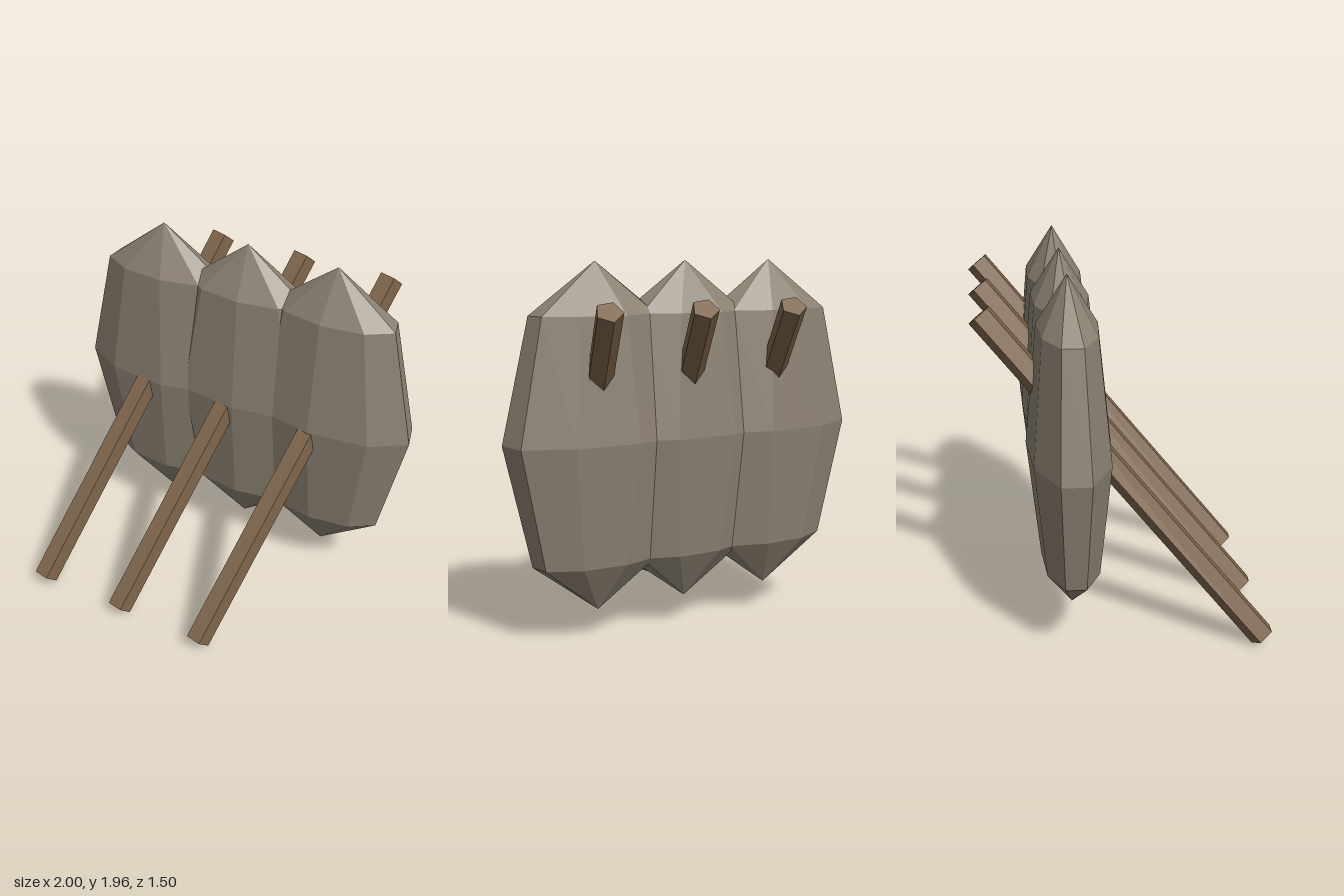
import * as THREE from 'three';

const rad = THREE.MathUtils.degToRad;

export function createModel() {
  const model = new THREE.Group();
  model.name = 'stoneBarrier';

  const stone = new THREE.MeshStandardMaterial({ color: 0x8b8172, flatShading: true });
  stone.name = 'stone';
  const wood = new THREE.MeshStandardMaterial({ color: 0x7d6349, flatShading: true });
  wood.name = 'wood';

  const spacing = 0.515;
  const names = ['right', 'middle', 'left'];

  // Each unit: a faceted, flattened boulder pierced by a slanted stake
  names.forEach((name, i) => {
    const offset = (i - 1) * spacing;

    // Boulder: coarse sphere, turned a little differently each time, then flattened
    const boulderGeometry = new THREE.SphereGeometry(1, 9, 4);
    boulderGeometry.rotateY(rad(19 - 6 * i));
    boulderGeometry.scale(0.503, 0.9, 0.22);
    const boulder = new THREE.Mesh(boulderGeometry, stone);
    boulder.name = name + 'Boulder';
    boulder.position.set(-0.01 + offset, 1.06, -0.28);
    model.add(boulder);

    // Stake: five-sided pole leaning back and to one side
    const stakeGeometry = new THREE.CylinderGeometry(0.07, 0.07, 2.23, 5);
    stakeGeometry.rotateY(Math.PI);
    const stake = new THREE.Mesh(stakeGeometry, wood);
    stake.name = name + 'Stake';
    stake.rotation.set(rad(-39.7), 0, rad(-10.3));
    stake.position.set(-0.085 + offset, 0.89, 0);
    model.add(stake);
  });

  return model;
}
